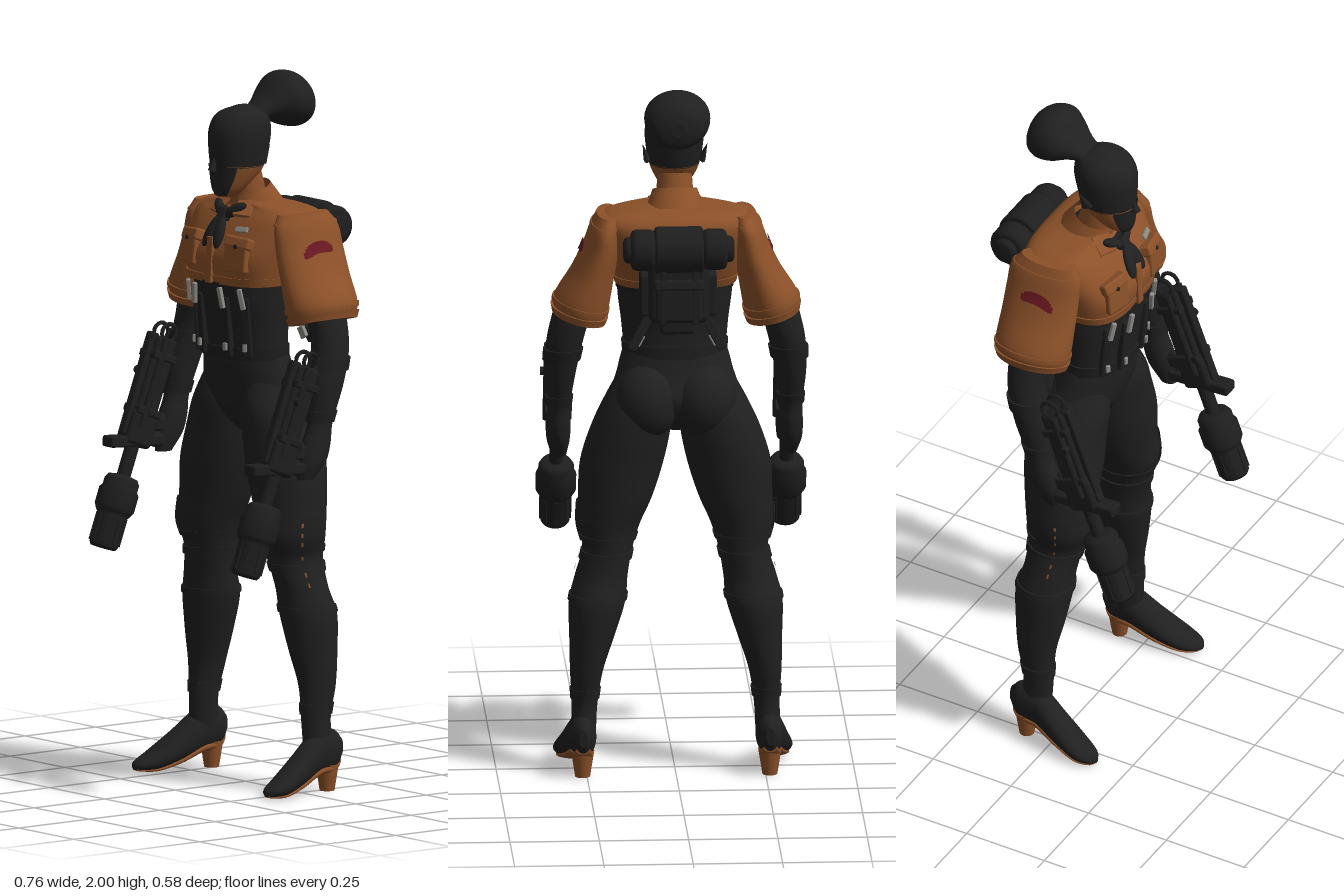
import * as THREE from 'three';
import { RoundedBoxGeometry } from 'three/addons/geometries/RoundedBoxGeometry.js';

const mat = (name, color) => new THREE.MeshStandardMaterial({ name, color, side: THREE.DoubleSide });

// Lofted skin through sections [x, y, z, rx, rz, tilt], listed bottom to top.
// t0..t1 and a0..a1 pick a patch of it, grow puffs it out, s = -1 mirrors it.
function loft(sections, { s = 1, t0 = 0, t1 = 1, a0 = 0, a1 = Math.PI * 2, grow = 0, p = 1, n = 36 } = {}) {
  const spine = new THREE.CatmullRomCurve3(sections.map(c => new THREE.Vector3(c[0], c[1], c[2])), false, 'catmullrom', 0.5);
  const size = new THREE.CatmullRomCurve3(sections.map(c => new THREE.Vector3(c[3], c[4], c[5] || 0)), false, 'catmullrom', 0.5);
  const rows = Math.max(3, Math.ceil((sections.length - 1) * 6 * (t1 - t0)));
  const closed = a1 - a0 > 6.28, pos = [], idx = [];
  const pw = v => Math.sign(v) * Math.abs(v) ** p;
  const tri = (a, b, c) => (s > 0 ? idx.push(a, b, c) : idx.push(a, c, b));
  const ring = t => {
    const c = spine.getPoint(t), r = size.getPoint(t), first = pos.length / 3;
    for (let j = 0; j <= n; j++) {
      const a = a0 + (a1 - a0) * (j === n && closed ? 0 : j / n);
      const dx = (r.x + grow) * pw(Math.sin(a));
      pos.push(s * (c.x + dx), c.y + r.z * dx, c.z + (r.y + grow) * pw(Math.cos(a)));
    }
    return first;
  };
  for (let i = 0; i <= rows; i++) ring(t0 + (t1 - t0) * i / rows);
  const w = n + 1, wrap = j => (closed ? j % n : j);
  for (let i = 0; i < rows; i++) for (let j = 0; j < n; j++) {
    const a = i * w + wrap(j), b = i * w + wrap(j + 1);
    tri(a, b, a + w); tri(b, b + w, a + w);
  }
  if (closed) for (const [t, top] of [[t0, false], [t1, true]]) {
    const f = ring(t), c = spine.getPoint(t), m = pos.length / 3;
    pos.push(s * c.x, c.y, c.z);
    for (let j = 0; j < n; j++) top ? tri(m, f + j, f + wrap(j + 1)) : tri(m, f + wrap(j + 1), f + j);
  }
  const g = new THREE.BufferGeometry();
  g.setAttribute('position', new THREE.Float32BufferAttribute(pos, 3));
  g.setIndex(idx);
  g.computeVertexNormals();
  return g;
}

const HEAD = [[0, 1.665, 0.065, 0.022, 0.032], [0, 1.69, 0.055, 0.045, 0.05], [0, 1.74, 0.032, 0.068, 0.076], [0, 1.8, 0.025, 0.08, 0.088],
  [0, 1.855, 0.02, 0.082, 0.09], [0, 1.895, 0.015, 0.064, 0.07], [0, 1.917, 0.01, 0.015, 0.02]];
// Bun and foot sections run back to front: [x, z, -y, rx, ry]
const BUN = [[0, -0.212, -1.905, 0.02, 0.02], [0, -0.2, -1.908, 0.062, 0.055], [0, -0.165, -1.917, 0.088, 0.077],
  [0, -0.12, -1.924, 0.091, 0.076], [0, -0.085, -1.918, 0.072, 0.056], [0, -0.05, -1.9, 0.05, 0.034], [0, -0.01, -1.875, 0.04, 0.025]];
const FOOT = [[0.262, -0.132, -0.12, 0.012, 0.025], [0.262, -0.1, -0.115, 0.036, 0.058], [0.264, -0.04, -0.11, 0.04, 0.062],
  [0.276, 0.03, -0.07, 0.045, 0.048], [0.29, 0.1, -0.035, 0.045, 0.03], [0.297, 0.145, -0.022, 0.03, 0.016], [0.299, 0.162, -0.018, 0.008, 0.008]];
const SHIRT = [[0, 1.425, -0.005, 0.168, 0.126], [0, 1.5, -0.018, 0.187, 0.145], [0, 1.57, -0.04, 0.206, 0.13],
  [0, 1.612, -0.052, 0.213, 0.112], [0, 1.636, -0.05, 0.18, 0.088], [0, 1.652, -0.02, 0.06, 0.06]];
const SLEEVE = [[0.272, 1.33, -0.062, 0.068, 0.1, 0.25], [0.265, 1.375, -0.062, 0.076, 0.113, 0.25], [0.233, 1.46, -0.062, 0.06, 0.113, 0.2],
  [0.21, 1.53, -0.062, 0.052, 0.112, 0.12], [0.198, 1.59, -0.06, 0.044, 0.108], [0.188, 1.63, -0.055, 0.034, 0.085]];
const CORSET = [[0, 1.21, 0, 0.142, 0.1], [0, 1.3, 0.005, 0.15, 0.105], [0, 1.38, 0.003, 0.16, 0.12], [0, 1.45, 0, 0.162, 0.125]];
const PELVIS = [[0, 1.0, -0.03, 0.03, 0.05], [0, 1.04, -0.03, 0.085, 0.085], [0, 1.1, -0.03, 0.17, 0.108], [0, 1.17, -0.012, 0.16, 0.103], [0, 1.25, 0, 0.138, 0.095]];
const LEG = [[0.26, 0.1, -0.06, 0.036, 0.05], [0.255, 0.2, -0.05, 0.036, 0.044], [0.25, 0.3, -0.058, 0.046, 0.056], [0.235, 0.4, -0.055, 0.063, 0.072],
  [0.22, 0.5, -0.05, 0.079, 0.082], [0.208, 0.57, -0.038, 0.074, 0.075], [0.19, 0.65, -0.028, 0.07, 0.082], [0.186, 0.72, -0.02, 0.088, 0.096],
  [0.168, 0.8, -0.026, 0.104, 0.102], [0.15, 0.9, -0.028, 0.117, 0.11], [0.125, 1, -0.033, 0.112, 0.114], [0.105, 1.08, -0.03, 0.095, 0.112], [0.09, 1.17, -0.02, 0.06, 0.075]];
const ARM = [[0.322, 0.9, 0.04, 0.02, 0.025], [0.325, 0.95, 0.02, 0.032, 0.045], [0.325, 1.0, 0.005, 0.034, 0.045], [0.325, 1.06, -0.01, 0.032, 0.038],
  [0.322, 1.17, -0.035, 0.045, 0.052], [0.309, 1.27, -0.058, 0.052, 0.054], [0.28, 1.38, -0.06, 0.055, 0.06]];

export function createModel() {
  const root = new THREE.Group();
  const black = mat('black cloth', 0x202020), dark = mat('dark gear', 0x1e1e1f), brown = mat('brown cloth', 0x8c5129);
  const red = mat('red patch', 0x6a1820), steel = mat('steel', 0x8e8c87);
  const add = (name, geo, m, pos = [0, 0, 0], rot = [0, 0, 0], parent = root) => {
    const o = new THREE.Mesh(geo, m);
    o.name = name; o.position.set(...pos); o.rotation.set(...rot);
    parent.add(o);
    return o;
  };
  const box = (w, h, d) => new RoundedBoxGeometry(w, h, d, 2, Math.min(w, h, d) * 0.22);
  const cyl = (r1, r2, h, n = 24) => new THREE.CylinderGeometry(r1, r2, h, n);
  const lathe = profile => new THREE.LatheGeometry(profile.map(q => new THREE.Vector2(...q)), 28);
  // Round drum with softened rims
  const drum = (r, h, b = 0.012) => lathe([[0, -h / 2], [r - b, -h / 2], [r - b * 0.3, -h / 2 + b * 0.3], [r, -h / 2 + b],
    [r, h / 2 - b], [r - b * 0.3, h / 2 - b * 0.3], [r - b, h / 2], [0, h / 2]]);

  // Head, mask and hair
  add('jaw', loft(HEAD, { t1: 0.37 }), brown);
  add('mask', loft(HEAD, { t0: 0.03, t1: 0.37, a0: -0.95, a1: 0.95, grow: 0.004 }), black);
  add('head', loft(HEAD, { t0: 0.36 }), black);
  add('nose', new THREE.ConeGeometry(0.013, 0.045, 8), black, [0, 1.762, 0.113], [-0.25, 0, 0]);
  add('hairBun', loft(BUN).rotateX(Math.PI / 2), black);
  add('neck', cyl(0.047, 0.056, 0.14), brown, [0, 1.675, -0.005], [0.2, 0, 0]);

  // Shirt with collar, placket and neckerchief
  add('shirt', loft(SHIRT, { p: 0.66, n: 60 }), brown);
  add('shirtHem', loft(SHIRT, { p: 0.66, n: 60, t1: 0.06, grow: 0.004 }), brown);
  add('collar', new THREE.CylinderGeometry(0.062, 0.085, 0.06, 28, 1, true, 0.35, Math.PI * 2 - 0.7), brown, [0, 1.655, -0.02], [0.3, 0, 0]);
  add('placket', box(0.025, 0.13, 0.012), brown, [0, 1.49, 0.126], [-0.06, 0, 0]);
  add('neckerchief', new THREE.TorusGeometry(0.064, 0.011, 8, 28), black, [0, 1.638, -0.005], [Math.PI / 2 + 0.3, 0, 0]);
  add('kerchiefKnot', box(0.034, 0.036, 0.03), black, [0, 1.615, 0.075], [-0.5, 0, 0]);

  // Corset and hips
  add('corset', loft(CORSET), black);
  add('corsetLowerBand', loft(CORSET, { t1: 0.13, grow: 0.005 }), dark);
  add('corsetUpperBand', loft(CORSET, { t0: 0.76, t1: 0.9, grow: 0.004 }), dark);
  add('hips', loft(PELVIS), black);

  for (const s of [1, -1]) {
    const side = new THREE.Group();
    side.name = s > 0 ? 'leftSide' : 'rightSide';
    root.add(side);
    const put = (name, geo, m, pos, rot) => add(name, geo, m, pos, rot, side);

    const ear = put('ear', new THREE.ConeGeometry(0.02, 0.055, 8), black, [s * 0.084, 1.79, -0.005], [-0.4, 0, -s * 0.25]);
    ear.scale.x = 0.5;
    put('collarFlap', box(0.055, 0.012, 0.06), brown, [s * 0.055, 1.634, 0.045], [0.75, s * 0.3, -s * 0.35]);
    const tail = put('kerchiefTail', new THREE.SphereGeometry(0.05, 12, 8), black, [s * 0.016, 1.57, 0.106], [-0.45, 0, s * 0.25]);
    tail.scale.set(0.4, 1.05, 0.25);
    const wing = put('kerchiefWing', new THREE.SphereGeometry(0.04, 12, 8), black, [s * 0.034, 1.628, 0.065], [0, s * 0.5, s * 0.5]);
    wing.scale.set(1, 0.4, 0.35);

    // Chest pocket
    put('pocket', box(0.08, 0.08, 0.03), brown, [s * 0.103, 1.505, 0.11], [-0.1, s * 0.22, 0]);
    put('pocketFlap', box(0.09, 0.034, 0.036), brown, [s * 0.103, 1.547, 0.102], [-0.35, s * 0.22, 0]);
    put('pocketButton', cyl(0.006, 0.006, 0.006, 10), dark, [s * 0.109, 1.54, 0.122], [Math.PI / 2 - 0.35, 0, 0]);

    // Sleeve with rolled cuff and seam
    put('sleeve', loft(SLEEVE, { s }), brown);
    put('sleeveCuff', loft(SLEEVE, { s, t1: 0.1, grow: 0.007 }), brown);
    put('cuffFold', loft(SLEEVE, { s, t0: 0.15, t1: 0.2, grow: 0.004 }), brown);
    put('shoulderSeam', loft(SLEEVE, { s, t0: 0.84, t1: 0.87, grow: 0.003 }), brown);
    // Arched arm patch, built in narrow upright strips from front to back
    for (let i = 0; i < 14; i++) {
      const u = (i + 0.5) / 7 - 1, a = 1.47 + u * 0.45;
      const mid = 0.615 - 0.05 * u * u + 0.025 * u, half = 0.055 * Math.sqrt(1 - u ** 4);
      put('armPatch', loft(SLEEVE, { s, t0: mid - half, t1: mid + half, a0: a - 0.033, a1: a + 0.033, grow: 0.005, n: 2 }), red);
    }

    // Arm, gloved hand and fingers
    put('arm', loft(ARM, { s }), black);
    put('gloveCuff', loft(ARM, { s, t0: 0.72, t1: 0.78, grow: 0.006 }), dark);
    put('wristBand', loft(ARM, { s, t0: 0.5, t1: 0.55, grow: 0.005 }), dark);
    for (let i = 0; i < 4; i++)
      put('finger', new THREE.CapsuleGeometry(0.011, 0.05, 4, 8), black, [s * 0.318, 0.92 + i * 0.024, 0.06 - i * 0.008], [1.25, 0, 0]);

    // Corset straps and clasps
    for (const [x, z, turn] of [[0.055, 0.108, 0.2], [0.11, 0.083, 0.65]]) {
      put('corsetStrap', box(0.026, 0.17, 0.02), dark, [s * x, 1.305, z], [0.08, s * turn, 0]);
      put('clasp', box(0.014, 0.06, 0.012), steel, [s * x * 1.08, 1.39, z + 0.026], [0.08, s * turn, s * 0.15]);
      put('lowerClasp', box(0.012, 0.022, 0.008), steel, [s * x * 1.04, 1.25, z + 0.01], [0, s * turn, 0]);
    }

    // Leg with trouser folds and boot
    const seat = put('seat', new THREE.SphereGeometry(0.092, 24, 16), black, [s * 0.08, 1.085, -0.078]);
    seat.scale.set(1, 1.15, 0.95);
    put('leg', loft(LEG, { s }), black);
    for (const [name, t0, t1, grow] of [['bootTop', 0.34, 0.36, 0.004], ['ankleFold', 0.1, 0.125, 0.004],
      ['trouserHem', 0.47, 0.495, 0.005], ['kneeFold', 0.53, 0.55, 0.004]]) put(name, loft(LEG, { s, t0, t1, grow }), black);
    put('kneePanel', loft(LEG, { s, t0: 0.53, t1: 0.65, a0: 0.3, a1: 1.9, grow: 0.005 }), dark);
    // Stitched side seam in short dashes at the knee and hip
    for (const t of [0.43, 0.46, 0.51, 0.56, 0.59, 0.62])
      put('kneeStitch', loft(LEG, { s, t0: t, t1: t + 0.013, a0: 1.2, a1: 1.26, grow: 0.008, n: 2 }), brown);
    for (let i = 0; i < 6; i++)
      put('hipStitch', loft(LEG, { s, t0: 0.82 + i * 0.018, t1: 0.83 + i * 0.018, a0: 0.93, a1: 0.97, grow: 0.004, n: 2 }), brown);

    // Heeled shoe
    put('shoe', loft(FOOT, { s }).rotateX(Math.PI / 2), black);
    put('sole', loft(FOOT.map(([x, z, y, rx, ry]) => [x, z, y + ry * 0.8, rx * 0.8, ry * 0.27]), { s, t0: 0.08, t1: 0.97 }).rotateX(Math.PI / 2), brown);
    put('heel', cyl(0.033, 0.021, 0.075, 16), brown, [s * 0.262, 0.0375, -0.084]);

    // Forearm launcher, sloping forward and down
    const gun = new THREE.Group();
    gun.name = 'launcher';
    gun.position.set(s * 0.322, 1, 0.122);
    gun.rotation.x = -0.36;
    side.add(gun);
    const g = (name, geo, pos, rot) => add(name, geo, dark, pos, rot, gun);
    g('receiver', box(0.055, 0.27, 0.075), [0, 0.1, 0]);
    g('receiverRail', box(0.028, 0.3, 0.03), [0, 0.09, 0.04]);
    g('foreEnd', box(0.062, 0.1, 0.09), [0, -0.03, 0]);
    g('crossBar', box(0.05, 0.032, 0.19), [0, -0.065, 0.0], [0.3, 0, 0]);
    g('barrel', cyl(0.02, 0.02, 0.2, 16), [0, -0.13, 0]);
    g('grip', box(0.035, 0.04, 0.1), [0, 0.0, -0.06], [0.3, 0, 0]);
    for (const k of [-1, 1]) {
      g('sideTube', cyl(0.011, 0.011, 0.26, 12), [k * 0.03, 0.1, 0.012]);
      g('topLoop', new THREE.TorusGeometry(0.025, 0.006, 6, 16), [k * 0.018, 0.25, 0.0], [0, Math.PI / 2, 0]);
    }
    for (const y of [0.02, 0.18]) g('clampBand', box(0.074, 0.022, 0.082), [0, y, 0]);
    g('sideKnob', cyl(0.012, 0.012, 0.02, 12), [s * 0.04, 0.13, 0.02], [0, 0, Math.PI / 2]);
    g('muzzleCan', lathe([[0, -0.378], [0.036, -0.378], [0.041, -0.37], [0.043, -0.285], [0.05, -0.275], [0.057, -0.262], [0.057, -0.215],
      [0.05, -0.205], [0.05, -0.185], [0.042, -0.172], [0.024, -0.168], [0, -0.168]]));
    for (let i = 0; i < 8; i++) {
      const a = i * Math.PI / 4;
      g('canRib', box(0.012, 0.08, 0.006), [Math.sin(a) * 0.042, -0.325, Math.cos(a) * 0.042], [0, a, 0]);
    }

    // Backpack sides
    put('rollBody', drum(0.058, 0.07, 0.016), dark, [s * 0.1, 1.565, -0.223], [0, 0, Math.PI / 2]);
    put('rollEnd', drum(0.037, 0.04), dark, [s * 0.135, 1.565, -0.223], [0, 0, Math.PI / 2]);
    put('packPouch', box(0.035, 0.12, 0.07), dark, [s * 0.09, 1.43, -0.185]);
    put('packStrap', box(0.016, 0.19, 0.012), dark, [s * 0.045, 1.45, -0.252]);
    put('hipStrap', box(0.026, 0.16, 0.014), dark, [s * 0.09, 1.32, -0.122], [0.2, 0, s * 0.5]);
    put('strapBuckle', box(0.026, 0.034, 0.012), steel, [s * 0.108, 1.275, -0.118], [0.1, 0, s * 0.5]);
  }

  // Name tag above the left pocket
  add('nameTag', box(0.042, 0.016, 0.008), steel, [0.1, 1.584, 0.092], [-0.5, 0.2, 0.15]);

  // Backpack centre
  add('pack', box(0.17, 0.25, 0.11), dark, [0, 1.475, -0.185]);
  add('packPocket', box(0.13, 0.1, 0.05), dark, [0, 1.41, -0.232]);
  add('packFlap', box(0.14, 0.03, 0.06), dark, [0, 1.465, -0.232], [0.2, 0, 0]);
  add('bedroll', drum(0.065, 0.135, 0.008), dark, [0, 1.565, -0.223], [0, 0, Math.PI / 2]);
  add('packBase', box(0.1, 0.06, 0.08), dark, [0, 1.335, -0.145]);
  return root;
}
